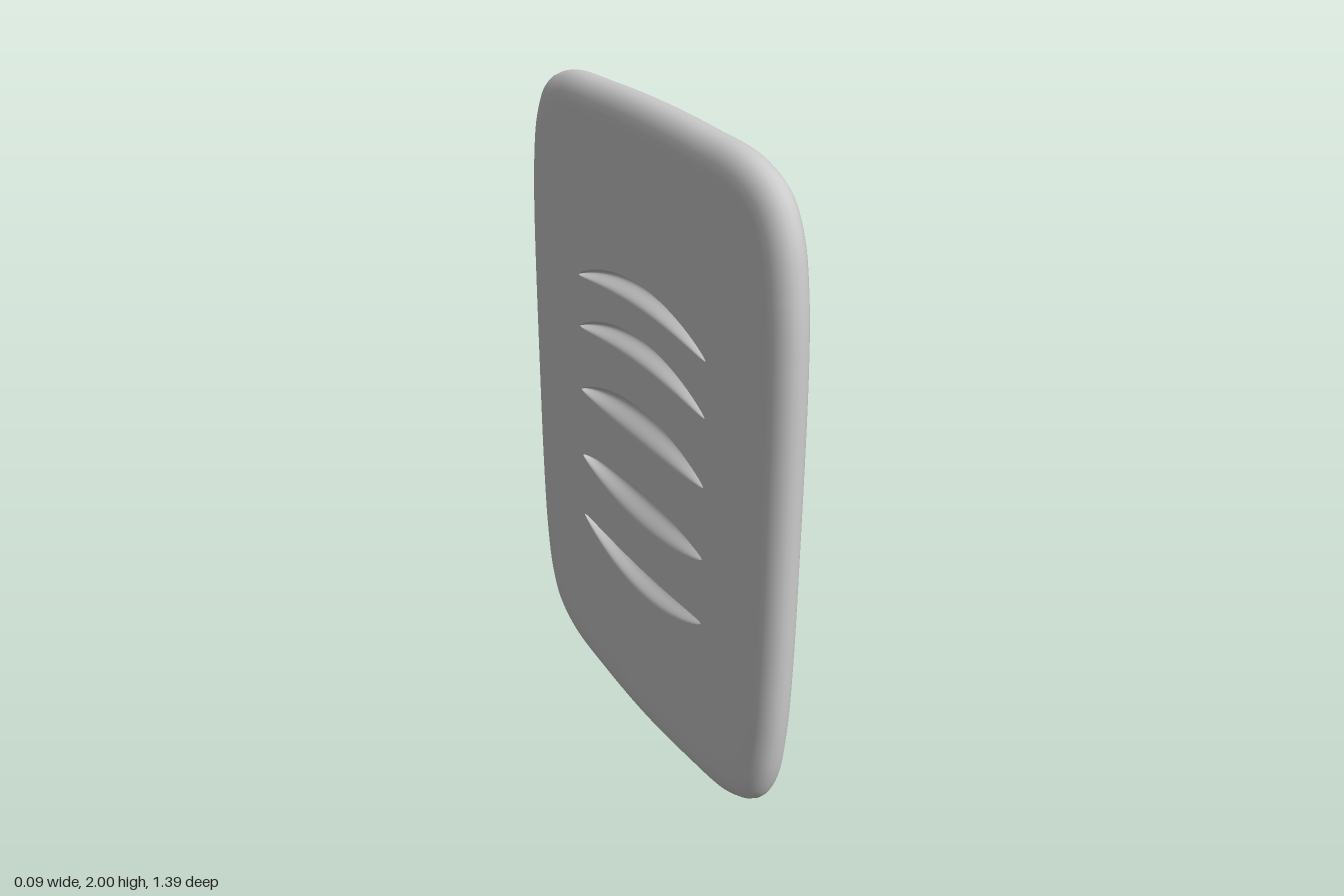
import * as THREE from 'three';

const BACK = -0.05, PANEL = 0.028, INSET = 0.135;
const DENT_DEPTH = 0.034, DENT_HALF = 0.35, DENT_STEPS = 48;

// Half of the outline, top centre to bottom centre; the other half is mirrored
const HALF = [
  [0, 2], [0.25, 1.994], [0.47, 1.977], [0.585, 1.925], [0.645, 1.83], [0.677, 1.68], [0.69, 1.5],
  [0.695, 1], [0.692, 0.6], [0.68, 0.38], [0.652, 0.22], [0.597, 0.115], [0.48, 0.046], [0.25, 0.013], [0, 0],
];

// Rim cross-section from back to front: [inset from outline, height]
const RIM = [
  [INSET, BACK], [0.1, BACK], [0.075, -0.0485], [0.05, -0.045], [0.03, -0.038], [0.014, -0.027], [0.004, -0.013],
  [0, 0.003], [0.002, 0.018], [0.008, 0.031], [0.018, 0.04], [0.033, 0.045], [0.047, 0.042], [0.057, 0.034],
  [0.064, 0.022], [0.07, 0.013], [0.079, 0.01], [0.089, 0.012], [0.098, 0.02], [0.108, 0.026], [0.12, PANEL], [INSET, PANEL],
];

// Dents: height of the ends, rise of the middle, half height at the middle
const DENTS = [
  [1.41, 0.055, 0.036], [1.245, 0.055, 0.041], [1.035, 0.033, 0.056], [0.805, -0.012, 0.06], [0.59, -0.053, 0.046],
];

const curve = new THREE.CatmullRomCurve3(
  [...HALF, ...HALF.slice(1, -1).reverse().map(([u, v]) => [-u, v])].map(([u, v]) => new THREE.Vector3(u, v, 0)),
  true, 'centripetal');
const COUNT = 200;

// Outline moved inward by d
function ring(d) {
  return Array.from({ length: COUNT }, (_, i) => {
    const p = curve.getPointAt(i / COUNT), t = curve.getTangentAt(i / COUNT);
    const u = p.x + d * (0.6 * t.y - 0.4 * p.x / 0.695);
    const v = p.y + d * (-0.6 * t.x - 0.4 * (p.y - 1));
    return new THREE.Vector2(u, v);
  });
}

// Point on a dent: theta runs along it, side from -1 (lower edge) to 1 (upper edge)
function dentPoint([end, rise, half], theta, side) {
  const s = Math.sin(theta);
  return new THREE.Vector2(-DENT_HALF * Math.cos(theta), end + rise * s * s + side * (0.018 * s + (half - 0.018) * s * s));
}

function rimGeometry() {
  const positions = [], index = [];
  RIM.forEach(([d, w], r) => {
    for (const p of ring(d)) positions.push(p.x, p.y, w);
    if (r === 0) return;
    for (let i = 0; i < COUNT; i++) {
      const j = (i + 1) % COUNT, a = (r - 1) * COUNT, b = r * COUNT;
      index.push(a + i, b + i, a + j, b + i, b + j, a + j);
    }
  });
  const g = new THREE.BufferGeometry();
  g.setAttribute('position', new THREE.Float32BufferAttribute(positions, 3));
  g.setIndex(index);
  g.computeVertexNormals();
  return g;
}

// Flat sheet with an opening for every dent
function panelGeometry() {
  const shape = new THREE.Shape(ring(INSET));
  for (const dent of DENTS) {
    const pts = [];
    for (let i = 0; i <= DENT_STEPS; i++) pts.push(dentPoint(dent, Math.PI * i / DENT_STEPS, 1));
    for (let i = DENT_STEPS - 1; i > 0; i--) pts.push(dentPoint(dent, Math.PI * i / DENT_STEPS, -1));
    shape.holes.push(new THREE.Path(pts));
  }
  return new THREE.ShapeGeometry(shape);
}

// Hollow, steeper along its upper edge
function dentGeometry(dent) {
  const g = new THREE.PlaneGeometry(1, 1, DENT_STEPS, 16);
  const pos = g.attributes.position;
  for (let i = 0; i < pos.count; i++) {
    const theta = (pos.getX(i) + 0.5) * Math.PI, y = pos.getY(i);
    const p = dentPoint(dent, theta, 2 * y);
    const across = Math.sin(Math.PI * Math.pow(0.5 - y, 0.7)) ** 2;
    const along = Math.pow(Math.max(0, Math.sin(theta)), 0.7);
    pos.setXYZ(i, p.x, p.y, -DENT_DEPTH * across * along);
  }
  g.computeVertexNormals();
  return g;
}

export function createModel() {
  const model = new THREE.Group();
  model.name = 'ventPanel';
  const material = new THREE.MeshStandardMaterial({ color: 0xcccccc, side: THREE.DoubleSide });
  const add = (parent, geometry, name) => {
    const mesh = new THREE.Mesh(geometry, material);
    mesh.name = name;
    parent.add(mesh);
  };

  // Rounded rim with the groove around the panel
  add(model, rimGeometry().rotateY(Math.PI / 2), 'rim');

  // Both faces with their five dents
  for (const [name, x, turn] of [['outerFace', PANEL, 1], ['innerFace', BACK, -1]]) {
    const face = new THREE.Group();
    face.name = name;
    face.position.x = x;
    face.rotation.y = turn * Math.PI / 2;
    add(face, panelGeometry(), 'panel');
    DENTS.forEach((dent, i) => add(face, dentGeometry(dent), `dent${i + 1}`));
    model.add(face);
  }
  return model;
}
